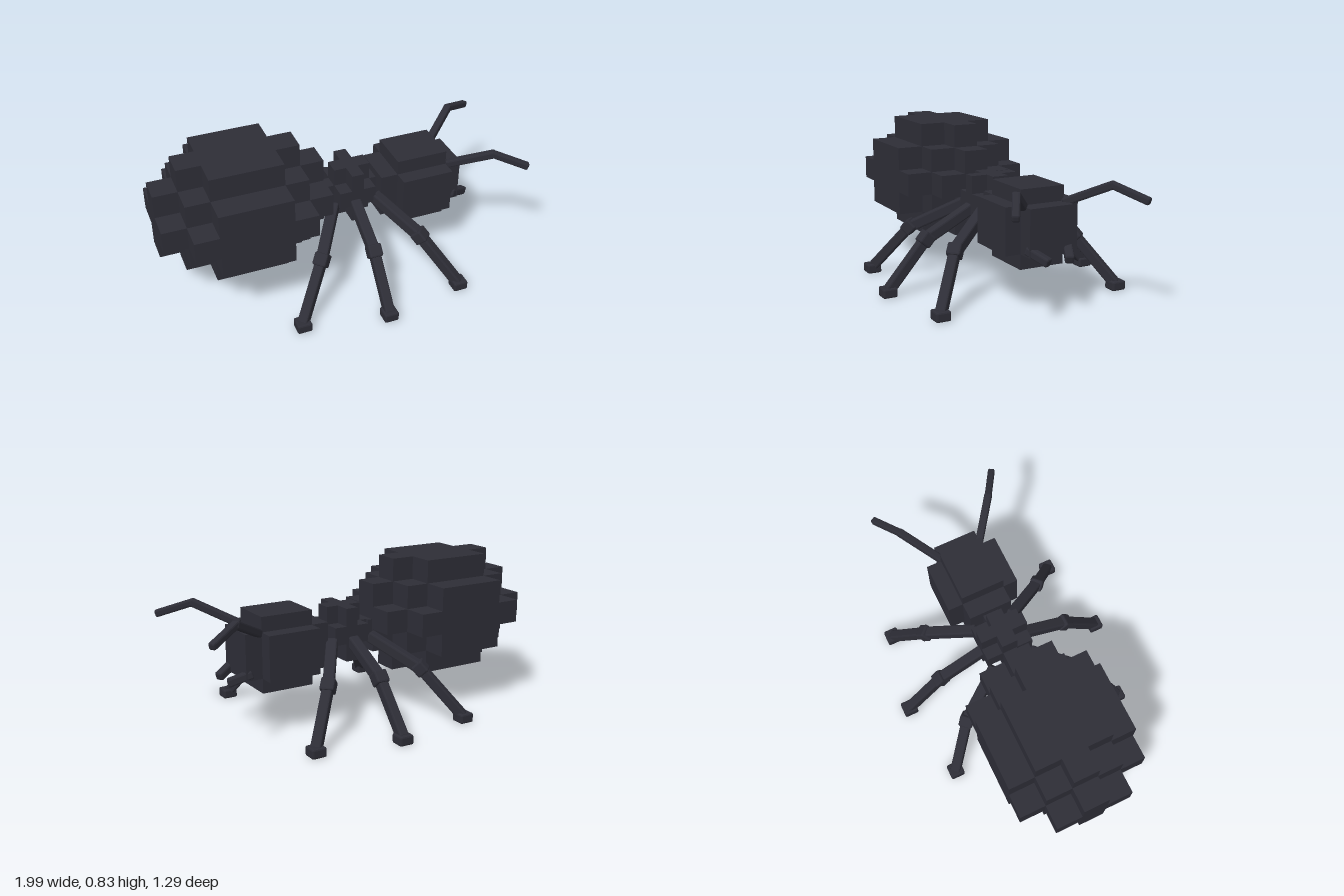
import * as THREE from 'three';
import { RoundedBoxGeometry } from 'three/addons/geometries/RoundedBoxGeometry.js';

const shell = new THREE.MeshStandardMaterial({ color: 0x2d2d36 });
shell.name = 'dark shell';

const V = (x, y, z) => new THREE.Vector3(x, y, z);

// Axis-aligned box given by centre and size
function block(parent, name, c, s) {
  const m = new THREE.Mesh(new THREE.BoxGeometry(...s), shell);
  m.position.set(...c);
  m.name = name;
  parent.add(m);
  return m;
}

// Box with slightly bevelled, flat edges
function bevelled(w, h, d) {
  const g = new RoundedBoxGeometry(w, h, d, 1, 0.009);
  g.computeVertexNormals();
  return g;
}

// Square bar running from a to b
function bar(parent, name, a, b, w, h = w) {
  const m = new THREE.Mesh(bevelled(w, h, a.distanceTo(b)), shell);
  m.position.copy(a).add(b).multiplyScalar(0.5);
  m.lookAt(b);
  m.name = name;
  parent.add(m);
  return m;
}

// Stepped body: union of boxes measured in cells out from the centre cell
function stepped(parent, name, centre, cell, reaches) {
  const g = new THREE.Group();
  g.name = name;
  reaches.forEach(r => block(g, name + 'Block', centre, r.map((n, i) => (2 * n + 1) * cell[i])));
  parent.add(g);
}

export function createModel() {
  const model = new THREE.Group();
  model.name = 'ant';

  // Abdomen: blocky ellipsoid of 7 x 5 x 5 cells
  stepped(model, 'abdomen', [-0.545, 0.513, 0], [0.13, 0.1265, 0.142], [
    [1, 2, 1], [1, 1, 2], [2, 1, 1], [2, 2, 0], [2, 0, 2], [3, 1, 0], [3, 0, 1]
  ]);

  // Thorax: 3 x 3 x 3 cells without the corners
  stepped(model, 'thorax', [0.083, 0.46, 0], [0.068, 0.097, 0.09], [
    [1, 1, 0], [1, 0, 1], [0, 1, 1]
  ]);
  block(model, 'waist', [-0.05, 0.46, 0], [0.12, 0.09, 0.08]);
  block(model, 'waistCollar', [-0.085, 0.46, 0], [0.04, 0.09, 0.12]);
  block(model, 'neck', [0.205, 0.46, 0], [0.06, 0.09, 0.09]);

  // Head: three crossing boxes
  const head = new THREE.Group();
  head.name = 'head';
  block(head, 'headCore', [0.465, 0.423, 0], [0.29, 0.405, 0.246]);
  block(head, 'headCheeks', [0.465, 0.423, 0], [0.29, 0.245, 0.415]);
  block(head, 'headFace', [0.463, 0.423, 0], [0.476, 0.245, 0.246]);
  model.add(head);

  for (const s of [1, -1]) {
    const side = s > 0 ? 'right' : 'left';

    // Antenna in two segments
    const antenna = new THREE.Group();
    antenna.name = side + 'Antenna';
    bar(antenna, 'antennaBase', V(0.62, 0.54, s * 0.115), V(0.825, 0.652, s * 0.275), 0.042);
    bar(antenna, 'antennaTip', V(0.805, 0.652, s * 0.262), V(0.985, 0.587, s * 0.367), 0.038);
    model.add(antenna);

    // Mandible
    bar(model, side + 'Mandible', V(0.66, 0.335, s * 0.115), V(0.775, 0.288, s * 0.058), 0.045);

    // Legs: hip, knee and foot positions
    [
      ['Front', V(0.19, 0.43, 0.105), V(0.358, 0.285, 0.355), V(0.525, 0.03, 0.517)],
      ['Middle', V(0.072, 0.43, 0.11), V(0.072, 0.285, 0.387), V(0.072, 0.03, 0.606)],
      ['Back', V(-0.045, 0.43, 0.105), V(-0.211, 0.285, 0.355), V(-0.38, 0.03, 0.517)]
    ].forEach(([label, hip, knee, foot]) => {
      [hip, knee, foot].forEach(p => { p.z *= s; });
      const leg = new THREE.Group();
      leg.name = side + label + 'Leg';
      bar(leg, 'thigh', hip, knee, 0.06);
      bar(leg, 'shin', knee, foot, 0.055);
      // Knee block lies along the shin
      const dir = foot.clone().sub(knee).normalize().multiplyScalar(0.035);
      bar(leg, 'knee', knee.clone().sub(dir), knee.clone().add(dir), 0.075, 0.07);
      const pad = new THREE.Mesh(bevelled(0.08, 0.052, 0.08), shell);
      pad.position.set(foot.x, 0.026, foot.z);
      pad.name = 'foot';
      leg.add(pad);
      model.add(leg);
    });
  }
  return model;
}
